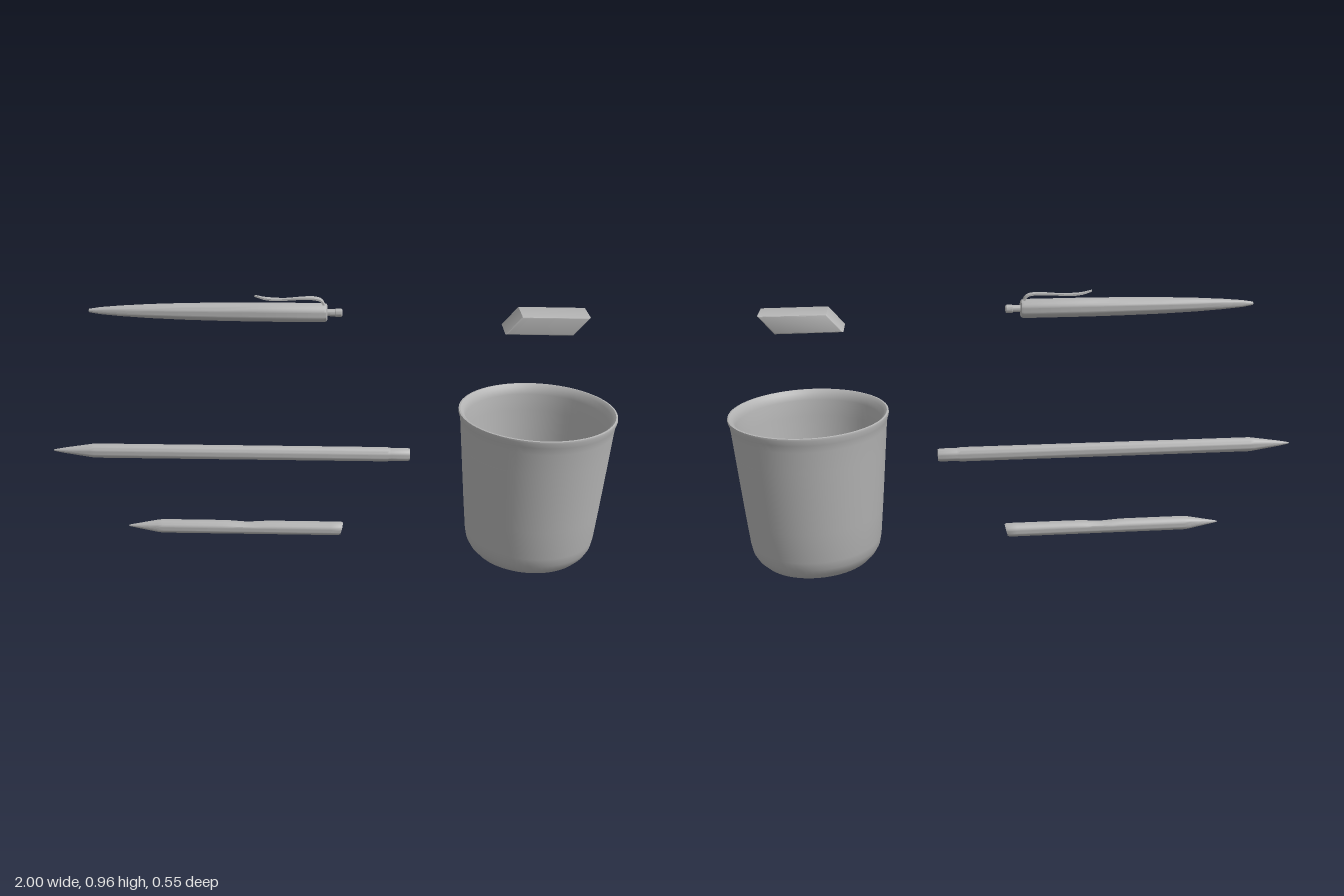
import * as THREE from 'three';
import { toCreasedNormals } from 'three/addons/utils/BufferGeometryUtils.js';

export function createModel() {
  const group = new THREE.Group();
  const grey = new THREE.MeshStandardMaterial({ color: 0xb4b4b4 });
  grey.name = 'plain grey';

  function add(name, geometry, x = 0, y = 0) {
    const mesh = new THREE.Mesh(toCreasedNormals(geometry, 0.6), grey);
    mesh.name = name;
    mesh.position.set(x, y, 0);
    group.add(mesh);
    return mesh;
  }

  // Turned part lying along x; profile is a list of [x, radius]
  function turned(profile, sides = 28) {
    const points = profile.map(([x, r]) => new THREE.Vector2(r, x));
    return new THREE.LatheGeometry(points, sides).rotateZ(-Math.PI / 2);
  }

  // Cup: outer wall up, flared lip, inner wall down to the floor
  const cup = [
    [0, 0], [0.145, 0], [0.17, 0.006], [0.192, 0.015], [0.212, 0.036], [0.225, 0.06], [0.231, 0.09],
    [0.241, 0.2], [0.251, 0.32], [0.26, 0.43], [0.266, 0.505], [0.269, 0.53], [0.275, 0.548],
    [0.274, 0.555], [0.268, 0.556], [0.256, 0.545], [0.25, 0.52], [0.246, 0.46], [0.234, 0.32],
    [0.224, 0.2], [0.216, 0.1], [0.21, 0.065], [0.195, 0.04], [0.17, 0.026], [0.14, 0.02], [0, 0.02],
  ].map(([r, y]) => new THREE.Vector2(r, y));
  add('cup', new THREE.LatheGeometry(cup, 64), 0.72, 0);

  // Long pencil with a band and end plug
  const pencil = add('longPencil', turned([
    [-1, 0], [-0.997, 0.003], [-0.96, 0.01], [-0.865, 0.024], [-0.85, 0.026],
    [0.2, 0.026], [0.205, 0.0245], [0.21, 0.0245],
  ]), 0, 0.381);
  pencil.scale.z = 0.92;
  const plug = add('pencilEnd', turned([
    [0.205, 0.0235], [0.272, 0.0235], [0.279, 0.021], [0.28, 0],
  ]), 0, 0.381);
  plug.scale.z = 0.95;

  // Short pencil: slanted end and a shallow dip along the top
  const profile = [[-0.75, 0], [-0.747, 0.003], [-0.71, 0.01], [-0.64, 0.023], [-0.62, 0.025]];
  for (let i = 0; i <= 12; i++) profile.push([-0.42 + i * 0.02, 0.025]);
  profile.push([0, 0.025], [0.03, 0.025], [0.037, 0.022], [0.038, 0]);
  const short = turned(profile);
  const p = short.attributes.position;
  for (let i = 0; i < p.count; i++) {
    const x = p.getX(i), y = p.getY(i);
    if (x > 0.01) p.setX(i, x + y * 0.25);
    if (y > 0.012) p.setY(i, y - 0.005 * Math.exp(-(((x + 0.31) / 0.05) ** 2)));
  }
  short.computeVertexNormals();
  add('shortPencil', short, 0, 0.079);

  // Pen barrel, collar and push button
  add('penBarrel', turned([
    [-0.83, 0], [-0.826, 0.006], [-0.79, 0.012], [-0.72, 0.018], [-0.62, 0.024], [-0.5, 0.0285],
    [-0.38, 0.031], [-0.25, 0.0325], [-0.025, 0.0325], [-0.017, 0.03], [-0.014, 0.024], [-0.014, 0],
  ]), 0, 0.905);
  add('penButton', turned([
    [-0.02, 0.012], [0.012, 0.012], [0.014, 0.014], [0.034, 0.014], [0.037, 0.011], [0.037, 0],
  ], 20), 0, 0.905);

  // Pen clip: wavy strip, pinched in the middle and pointed at the free end
  const curve = new THREE.CatmullRomCurve3([
    [-0.26, 0.962], [-0.225, 0.953], [-0.17, 0.95], [-0.11, 0.954], [-0.06, 0.955], [-0.035, 0.948], [-0.022, 0.926],
  ].map(([x, y]) => new THREE.Vector3(x, y, 0)));
  const widths = [0.002, 0.009, 0.012, 0.008, 0.008, 0.011, 0.014, 0.014, 0.013];
  const steps = 32, verts = [], faces = [];
  for (let i = 0; i <= steps; i++) {
    const t = i / steps, c = curve.getPointAt(t), d = curve.getTangentAt(t);
    const f = t * (widths.length - 1), k = Math.min(Math.floor(f), widths.length - 2);
    const w = THREE.MathUtils.lerp(widths[k], widths[k + 1], f - k);
    for (const [s, h] of [[-1, -1], [1, -1], [1, 1], [-1, 1]])
      verts.push(c.x - d.y * h * 0.003, c.y + d.x * h * 0.003, s * w);
    if (i < steps) for (let j = 0; j < 4; j++) {
      const a = i * 4 + j, b = i * 4 + (j + 1) % 4;
      faces.push(a, a + 4, b, b, a + 4, b + 4);
    }
  }
  const e = steps * 4;
  faces.push(0, 1, 2, 0, 2, 3, e, e + 2, e + 1, e, e + 3, e + 2);
  const clip = new THREE.BufferGeometry();
  clip.setAttribute('position', new THREE.Float32BufferAttribute(verts, 3));
  clip.setIndex(faces);
  add('penClip', clip);

  // Slanted eraser with softened edges
  const b = 0.005;
  const slab = new THREE.Shape([[0.59, 0.855], [0.807, 0.855], [0.856, 0.91], [0.639, 0.91]]
    .map(([x, y]) => new THREE.Vector2(x, y)));
  const eraser = new THREE.ExtrudeGeometry(slab, {
    depth: 0.12 - 2 * b, bevelThickness: b, bevelSize: b, bevelSegments: 3,
  });
  add('eraser', eraser.translate(0, 0, -0.06 + b));

  return group;
}
